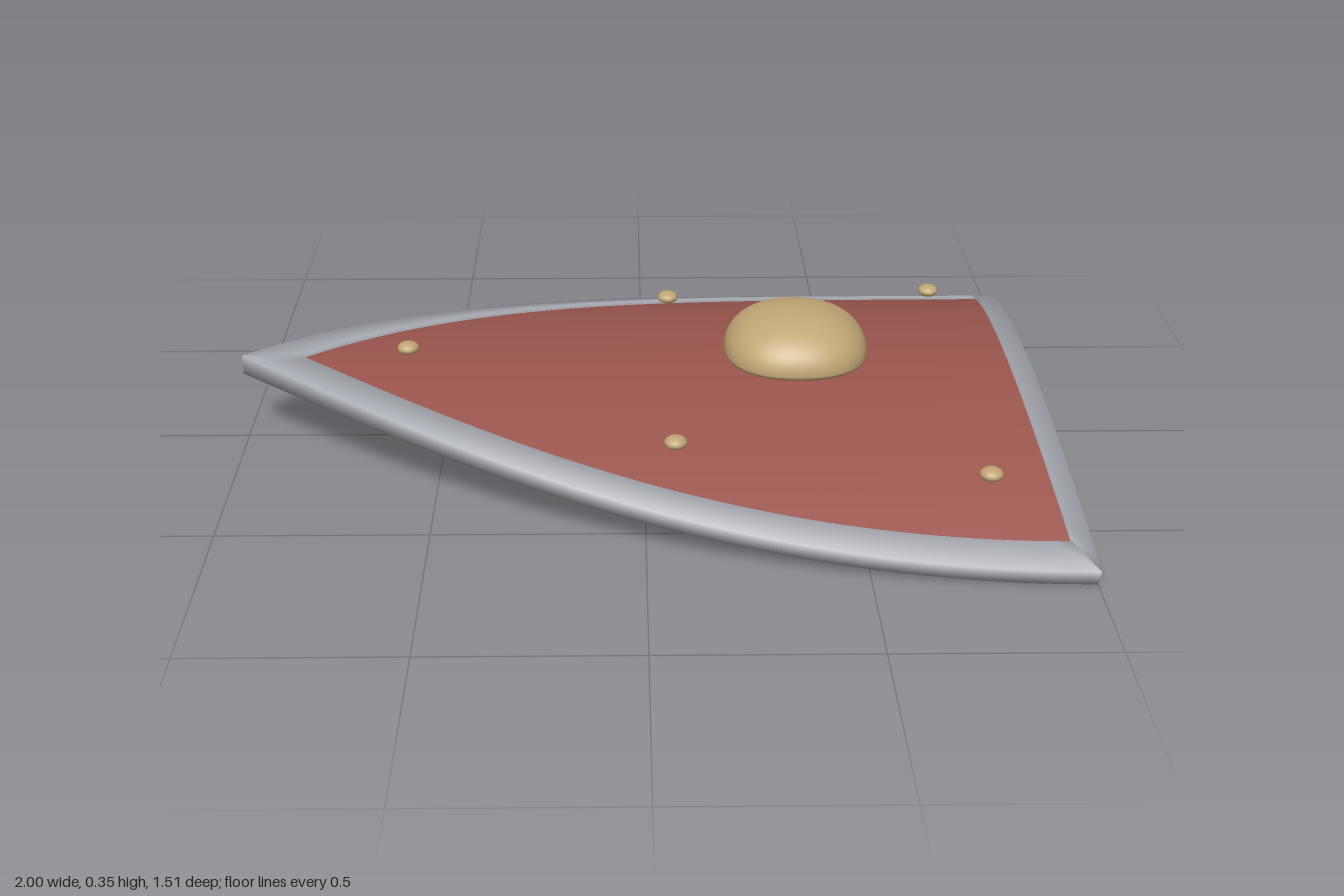
import * as THREE from 'three';

const TIP_CTRL = [-0.15, 0.735], HALF_WIDTH = 0.743, INNER_SCALE = 0.9, SCALE_X = 0.46;

// Side edge of the outline, from the tip (t = 0) to the wide corner (t = 1)
function side(t) {
  const a = (1 - t) * (1 - t), b = 2 * t * (1 - t), c = t * t;
  return [-a + b * TIP_CTRL[0] + c, b * TIP_CTRL[1] + c * HALF_WIDTH];
}

// Bend a flat point over the curved board, h being the height along the normal
function bend(x, z, h) {
  const slope = 0.64 * z, n = Math.hypot(1, slope);
  return [x, 0.2 - 0.32 * z * z + h / n, z + (h * slope) / n];
}

function shrink([x, z], s) {
  return [SCALE_X + (x - SCALE_X) * s, z * s];
}

function makeGeometry(positions, index) {
  const g = new THREE.BufferGeometry();
  g.setAttribute('position', new THREE.Float32BufferAttribute(positions, 3));
  g.setIndex(index);
  g.computeVertexNormals();
  return g;
}

// Rim bar along one edge: a four-cornered section swept along the path
function rimGeometry(path, steps) {
  const pos = [], idx = [], h = 0.025;
  for (let j = 0; j <= steps; j++) {
    const outer = path(j / steps), inner = shrink(outer, INNER_SCALE);
    pos.push(...bend(...outer, h), ...bend(...inner, h), ...bend(...inner, -h), ...bend(...outer, -h));
  }
  for (let j = 0; j < steps; j++) {
    for (let k = 0; k < 4; k++) {
      const a = j * 4 + k, b = j * 4 + ((k + 1) % 4);
      idx.push(a, a + 4, b, b, a + 4, b + 4);
    }
  }
  return makeGeometry(pos, idx);
}

// Curved sheet filling the outline, facing up or down
function sheetGeometry(h, up) {
  const pos = [], idx = [], rows = 40, cols = 32;
  for (let i = 0; i <= rows; i++) {
    const t = i / rows, [x, z] = side(t);
    for (let j = 0; j <= cols; j++) {
      const v = (2 * j) / cols - 1;
      const p = shrink([x - 0.045 * (1 - v * v) * t ** 3, z * v], INNER_SCALE + 0.008);
      pos.push(...bend(...p, h));
    }
  }
  for (let i = 0; i < rows; i++) {
    for (let j = 0; j < cols; j++) {
      const a = i * (cols + 1) + j, b = a + 1, c = a + cols + 1, d = c + 1;
      if (up) idx.push(a, b, c, b, d, c);
      else idx.push(a, c, b, b, c, d);
    }
  }
  return makeGeometry(pos, idx);
}

// Domed boss: a slightly squared, flattened dome with a flat underside
function bossGeometry() {
  const g = new THREE.SphereGeometry(1, 40, 28), p = g.attributes.position;
  for (let i = 0; i < p.count; i++) {
    const x = p.getX(i), y = p.getY(i), z = p.getZ(i), r = Math.hypot(x, z);
    let k = 1;
    if (r > 1e-5) k = 1 / (Math.abs(x / r) ** 2.35 + Math.abs(z / r) ** 2.35) ** (1 / 2.35);
    const full = y < 0 ? r : r ** 0.93;
    const q = r > 1e-5 ? (k * full) / r : 0;
    p.setXYZ(i, x * q * 0.177, y > 0 ? y * 0.107 : Math.max(y * 0.04, -0.015), z * q * 0.177);
  }
  g.computeVertexNormals();
  return g;
}

export function createModel() {
  const group = new THREE.Group();
  const mat = (name, color) => {
    const m = new THREE.MeshStandardMaterial({ color });
    m.name = name;
    return m;
  };
  const steel = mat('steel', 0xa6a9b0);
  const red = mat('red leather', 0x9a564e);
  const brass = mat('brass', 0xc0a674);
  const add = (name, geometry, material, x = 0, y = 0, z = 0) => {
    const mesh = new THREE.Mesh(geometry, material);
    mesh.name = name;
    mesh.position.set(x, y, z);
    group.add(mesh);
    return mesh;
  };

  // Board
  add('panelFace', sheetGeometry(0.015, true), red);
  add('panelBack', sheetGeometry(-0.012, false), red);

  // Rim: left side, wide end, right side
  add('rimLeft', rimGeometry((t) => side(t), 48), steel);
  add('rimEnd', rimGeometry((t) => {
    const v = 1 - 2 * t;
    return [1 - 0.045 * (1 - v * v), HALF_WIDTH * v];
  }, 32), steel);
  add('rimRight', rimGeometry((t) => {
    const [x, z] = side(1 - t);
    return [x, -z];
  }, 48), steel);

  // Boss and studs
  add('boss', bossGeometry(), brass, 0.378, 0.243, 0);
  const studGeometry = new THREE.SphereGeometry(0.027, 16, 12).scale(1, 0.58, 1);
  add('studTip', studGeometry, brass, -0.585, 0.245, 0);
  for (const s of [1, -1]) {
    add('studMiddle', studGeometry, brass, 0.07, 0.196, 0.417 * s);
    add('studCorner', studGeometry, brass, 0.787, 0.166, 0.522 * s);
  }
  return group;
}
